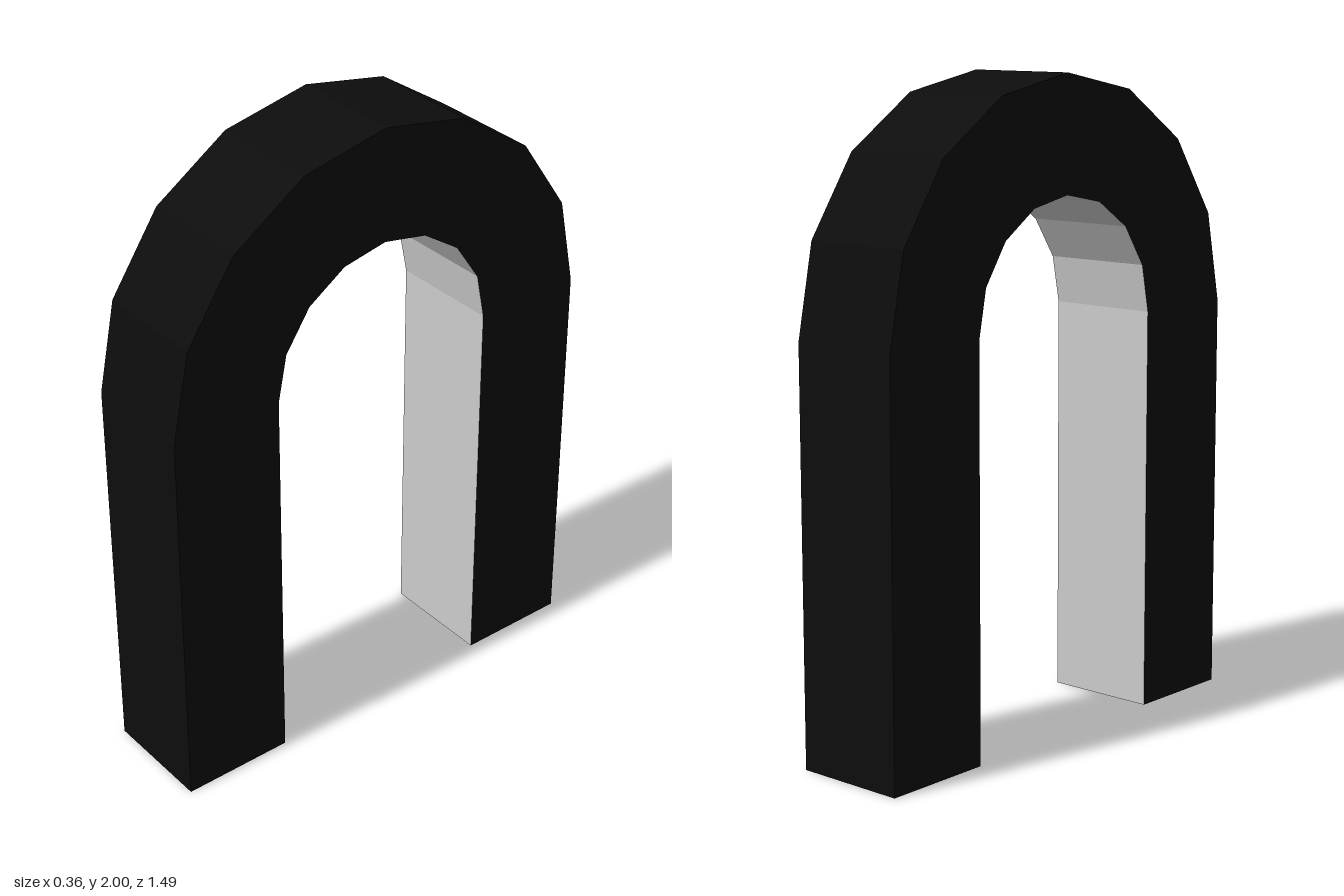
import * as THREE from 'three';

const HALF_WIDTH = 0.18, SPRING_Y = 1.26, SEGMENTS = 8;

// One lengthwise edge: up the front leg, over the half circle, down the back leg
function rail(x, radius, rise) {
  const points = [new THREE.Vector3(x, 0, radius)];
  for (let i = 0; i <= SEGMENTS; i++) {
    const a = (i / SEGMENTS) * Math.PI;
    points.push(new THREE.Vector3(x, SPRING_Y + rise * Math.sin(a), radius * Math.cos(a)));
  }
  points.push(new THREE.Vector3(x, 0, -radius));
  return points;
}

// Flat-faced band of quads between two edges
function strip(a, b) {
  const pts = [];
  for (let i = 0; i < a.length - 1; i++) {
    pts.push(a[i], b[i], b[i + 1], a[i], b[i + 1], a[i + 1]);
  }
  const geometry = new THREE.BufferGeometry().setFromPoints(pts);
  geometry.computeVertexNormals();
  return geometry;
}

export function createModel() {
  const group = new THREE.Group();
  group.name = 'arch';
  const black = new THREE.MeshStandardMaterial({ color: 0x0d0d0d, flatShading: true });
  const grey = new THREE.MeshStandardMaterial({ color: 0xcccccc, flatShading: true });

  const add = (name, geometry, material) => {
    const mesh = new THREE.Mesh(geometry, material);
    mesh.name = name;
    group.add(mesh);
  };

  // Four edges of the square bar, in order round its cross-section
  const rails = [
    rail(-HALF_WIDTH, 0.745, 0.74),
    rail(HALF_WIDTH, 0.745, 0.74),
    rail(HALF_WIDTH, 0.385, 0.385),
    rail(-HALF_WIDTH, 0.385, 0.385),
  ];

  // Long faces: only the inside of the arch is grey
  ['outerFace', 'leftFace', 'innerFace', 'rightFace'].forEach((name, i) => {
    add(name, strip(rails[i], rails[(i + 1) % 4]), name === 'innerFace' ? grey : black);
  });

  // Undersides of the two legs
  const last = rails[0].length - 1;
  const [a, b, c, d] = rails;
  add('frontFoot', strip([b[0], c[0]], [a[0], d[0]]), black);
  add('backFoot', strip([a[last], d[last]], [b[last], c[last]]), black);

  return group;
}
